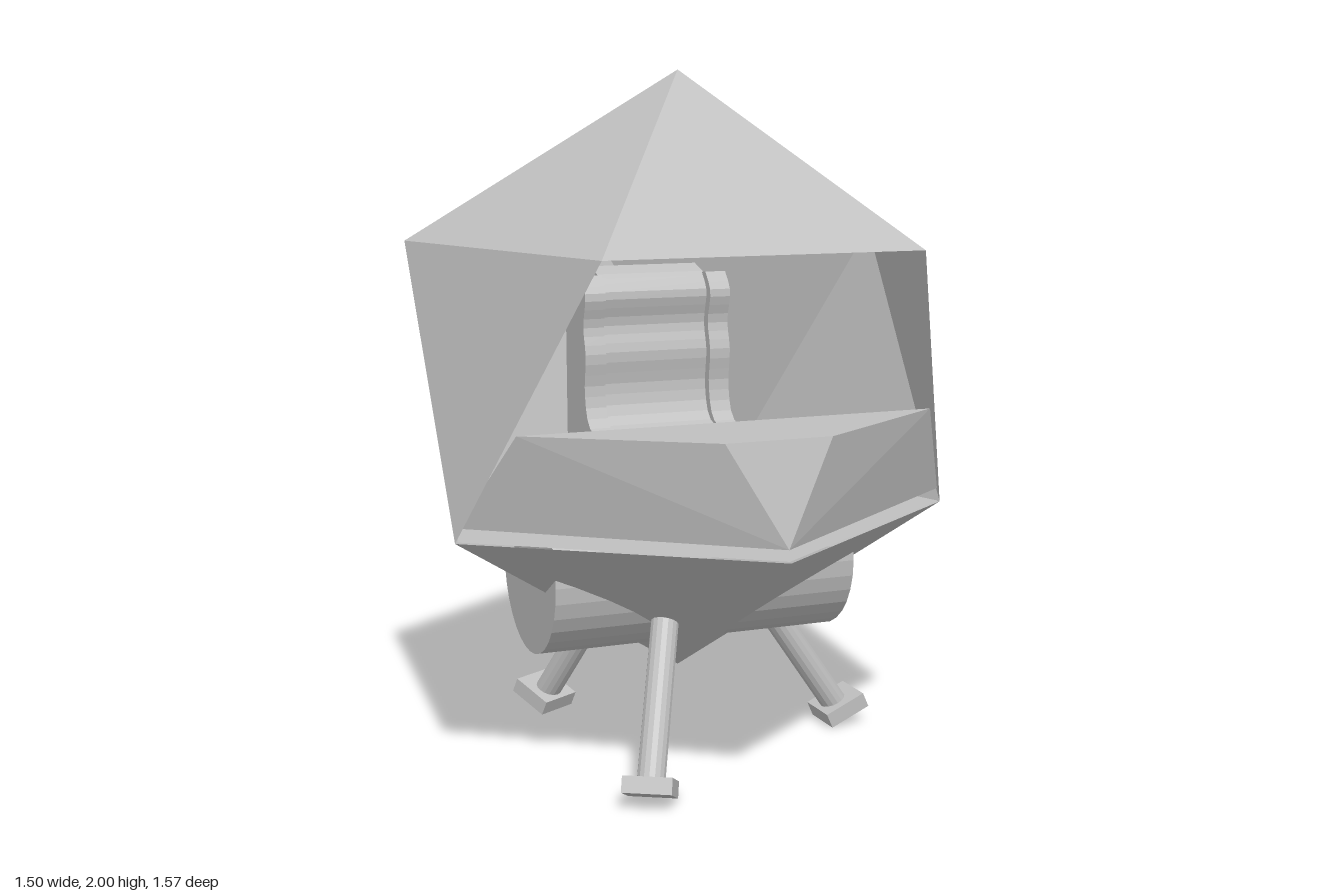
import * as THREE from 'three';
import { ConvexGeometry } from 'three/addons/geometries/ConvexGeometry.js';

export function createModel() {
  const root = new THREE.Group();
  const hull = new THREE.MeshStandardMaterial({ color: 0xbfbfbf, flatShading: true, side: THREE.DoubleSide });
  hull.name = 'light grey metal';

  const add = (name, geometry, parent = root) => {
    const mesh = new THREE.Mesh(geometry, hull);
    mesh.name = name;
    parent.add(mesh);
    return mesh;
  };

  // Icosahedron cabin shell, with three front faces left open
  const R = 0.787;
  const top = new THREE.Vector3(0, 2, 0);
  const bottom = new THREE.Vector3(0, 0.24, 0);
  const ring = (y, start) => Array.from({ length: 5 }, (_, i) => {
    const a = start + i * Math.PI * 2 / 5;
    return new THREE.Vector3(R * Math.sin(a), y, R * Math.cos(a));
  });
  const upper = ring(1.515, Math.PI / 5);
  const lower = ring(0.727, 0);
  const corners = [];
  for (let i = 0; i < 5; i++) {
    const j = (i + 1) % 5;
    corners.push(top, upper[i], upper[j]);
    corners.push(bottom, lower[j], lower[i]);
    // lower[0] is the front tip; every side face touching it is open
    if (i !== 0 && i !== 4) corners.push(upper[i], lower[i], lower[j]);
    if (i !== 4) corners.push(upper[i], lower[j], upper[j]);
  }
  const shell = new THREE.BufferGeometry().setFromPoints(corners);
  shell.computeVertexNormals();
  add('cabinShell', shell);

  // Floor inside the cabin
  const floorShape = new THREE.Shape(lower.map(p => new THREE.Vector2(p.x * 0.99, -p.z * 0.99)));
  const floor = add('cabinFloor', new THREE.ShapeGeometry(floorShape));
  floor.rotation.x = -Math.PI / 2;
  floor.position.y = 0.73;

  // Faceted control console filling the lower part of the opening
  const consolePoints = [new THREE.Vector3(0, 0.76, 0.775)];
  for (const s of [-1, 1]) {
    consolePoints.push(
      new THREE.Vector3(s * 0.74, 0.768, 0.24),
      new THREE.Vector3(s * 0.155, 1.04, 0.71),
      new THREE.Vector3(s * 0.62, 1.04, 0.4));
  }
  add('controlConsole', new ConvexGeometry(consolePoints));

  // Seat: wavy padded back and cushion, with bolsters on both sides
  const seat = new THREE.Group();
  seat.name = 'seat';
  root.add(seat);
  const seatSlice = (name, x, width, lift) => {
    const front = new THREE.SplineCurve([
      [0.2, 0.9], [0.05, 0.92], [-0.14, 0.95], [-0.19, 1.05], [-0.18, 1.16],
      [-0.2, 1.25], [-0.18, 1.34], [-0.22, 1.4],
    ].map(([z, y]) => new THREE.Vector2(z + lift, y))).getPoints(24);
    const shape = new THREE.Shape([
      new THREE.Vector2(0.2 + lift, 0.8), ...front,
      new THREE.Vector2(-0.28, 1.42 - lift), new THREE.Vector2(-0.33, 1.36),
      new THREE.Vector2(-0.32, 0.8),
    ]);
    const geometry = new THREE.ExtrudeGeometry(shape, { depth: width, bevelEnabled: false });
    geometry.rotateY(-Math.PI / 2);
    // after the turn, profile z runs along x's old axis: map it to +z
    geometry.scale(1, 1, 1);
    geometry.translate(x + width / 2, 0, 0);
    return add(name, geometry, seat);
  };
  seatSlice('seatPad', 0, 0.34, 0);
  for (const s of [-1, 1]) seatSlice('seatBolster', s * 0.2, 0.065, 0.03);
  const pedestal = add('seatPedestal', new THREE.CylinderGeometry(0.12, 0.16, 0.1, 16), seat);
  pedestal.position.set(0, 0.77, -0.06);

  // Round hatch set in the right rear wall
  const hatch = add('roundHatch', new THREE.CylinderGeometry(0.17, 0.17, 0.03, 32));
  const wall = [upper[3], lower[3], lower[4]];
  const normal = new THREE.Triangle(...wall).getNormal(new THREE.Vector3());
  hatch.quaternion.setFromUnitVectors(new THREE.Vector3(0, 1, 0), normal);
  hatch.position.copy(wall[0]).add(wall[1]).add(wall[2]).divideScalar(3);
  hatch.position.y -= 0.05;
  hatch.position.addScaledVector(normal, -0.018);

  // Cross tank under the cabin, showing on both sides
  const tank = add('crossTank', new THREE.CylinderGeometry(0.243, 0.243, 0.926, 32));
  tank.rotation.z = Math.PI / 2;
  tank.position.y = 0.572;

  // Three splayed landing legs with tilted feet
  for (let i = 0; i < 3; i++) {
    const leg = new THREE.Group();
    leg.name = 'landingLeg';
    leg.rotation.y = i * Math.PI * 2 / 3;
    root.add(leg);
    const a = new THREE.Vector3(0.2, 0.53, 0), b = new THREE.Vector3(0.525, 0.06, 0);
    const strut = add('legStrut', new THREE.CylinderGeometry(0.04, 0.04, a.distanceTo(b), 16), leg);
    strut.position.copy(a).add(b).multiplyScalar(0.5);
    strut.quaternion.setFromUnitVectors(new THREE.Vector3(0, 1, 0), a.clone().sub(b).normalize());
    const foot = add('footPad', new THREE.BoxGeometry(0.135, 0.047, 0.14), leg);
    foot.position.set(0.54, 0.049, 0);
    foot.rotation.z = 0.42;
  }
  return root;
}
